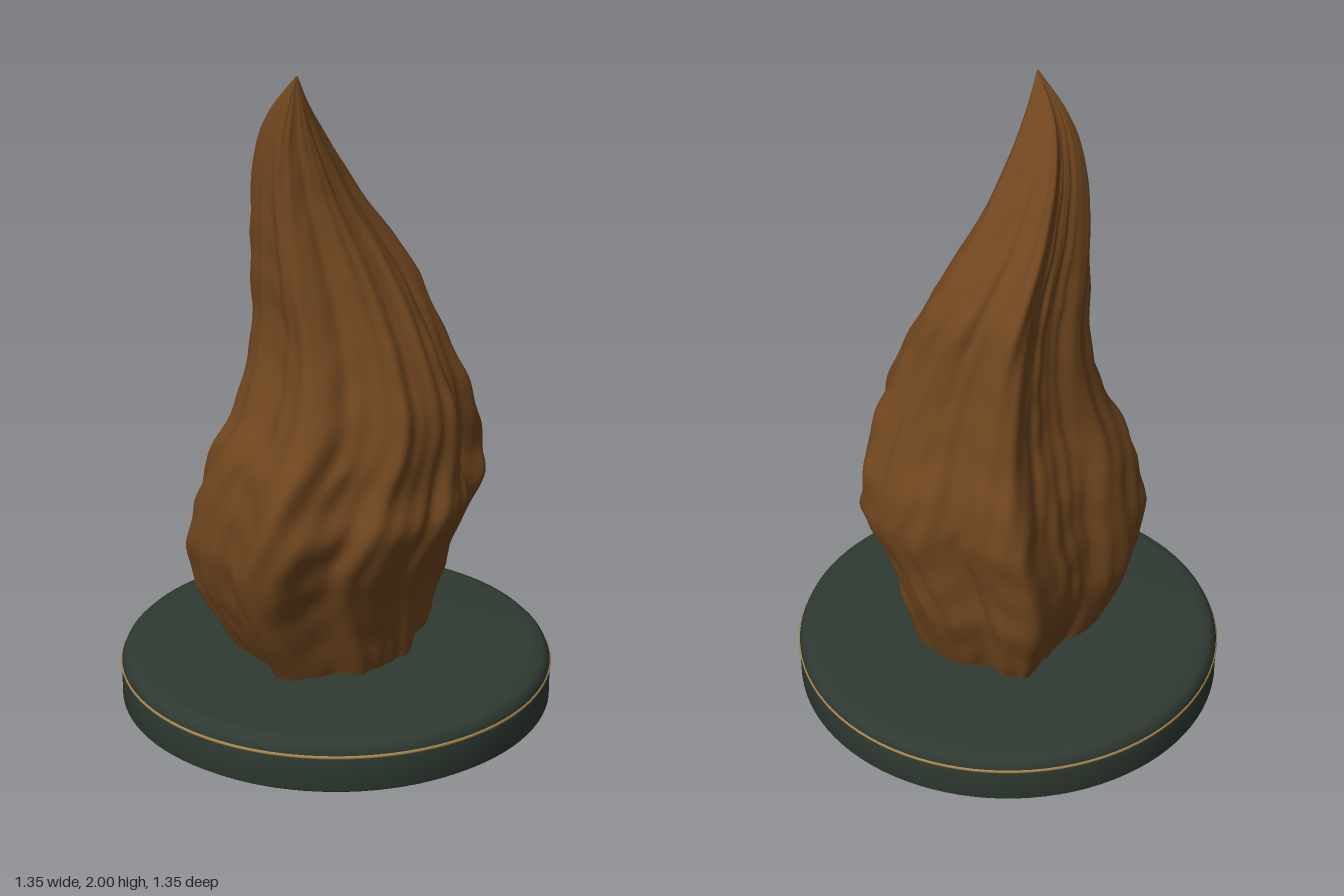
import * as THREE from 'three';

const bark = new THREE.MeshStandardMaterial({ color: 0x70461f });
bark.name = 'warm brown';
const green = new THREE.MeshStandardMaterial({ color: 0x2f3a32 });
green.name = 'dark green';
const gold = new THREE.MeshStandardMaterial({ color: 0xa8844c });
gold.name = 'antique gold';

// Heights with the extents of the flame there: x min, x max, z min, z max
const LEVELS = [
  [0.17, -0.31, 0.28, -0.24, 0.24],
  [0.4, -0.44, 0.36, -0.32, 0.30],
  [0.55, -0.49, 0.38, -0.32, 0.36],
  [0.7, -0.50, 0.415, -0.30, 0.42],
  [0.8, -0.475, 0.41, -0.28, 0.40],
  [1.0, -0.37, 0.345, -0.22, 0.385],
  [1.2, -0.295, 0.275, -0.19, 0.315],
  [1.4, -0.28, 0.205, -0.175, 0.215],
  [1.6, -0.275, 0.07, -0.15, 0.125],
  [1.8, -0.26, -0.07, -0.10, 0.075],
  [1.9, -0.24, -0.145, -0.045, 0.06],
  [2.0, -0.217, -0.213, 0.046, 0.05],
];

// Lobed cross-section (x, z), clockwise from the back left corner
const SECTION = [
  [-0.37, -0.29], [-0.2, -0.33], [0.03, -0.28], [0.3, -0.29], [0.35, -0.2], [0.36, -0.08],
  [0.42, 0.1], [0.38, 0.26], [0.22, 0.31], [0.15, 0.38], [-0.1, 0.41], [-0.22, 0.38],
  [-0.3, 0.31], [-0.5, 0.18], [-0.46, 0], [-0.43, -0.14],
];

// Fine twisting ridges, as a factor on the radius
function ridge(a, y) {
  const t = a + 0.45 * Math.max(0, y - 0.7) + 0.05 * Math.sin(y * 9);
  return 1 + 0.022 * Math.sin(t * 9 + 1.2 * Math.sin(y * 3))
    + 0.014 * Math.sin(t * 17 + 2 + Math.sin(y * 5 + a))
    + 0.009 * Math.sin(t * 29 + 1 + 1.5 * Math.sin(y * 7))
    + 0.005 * Math.sin(y * 38 + 3 * Math.sin(a * 5));
}

function flameGeometry(rings = 100, sides = 176) {
  const extents = new THREE.CubicInterpolant(
    LEVELS.map((l) => l[0]), LEVELS.flatMap((l) => l.slice(1)), 4, new Float32Array(4));
  const outline = new THREE.CatmullRomCurve3(
    SECTION.map(([x, z]) => new THREE.Vector3(x, 0, z)), true).getSpacedPoints(sides);
  const positions = [];
  const index = [];
  for (let i = 0; i <= rings; i++) {
    const y = 0.17 + (1.83 * i) / rings;
    const [x0, x1, z0, z1] = extents.evaluate(y);
    const ring = [];
    for (let j = 0; j < sides; j++) {
      const p = outline[j];
      ring.push(p.clone().multiplyScalar(ridge(Math.atan2(p.z, p.x), y)));
    }
    // Fit the ridged ring to the extents at this height
    const box = new THREE.Box3().setFromPoints(ring);
    for (const p of ring) {
      positions.push(
        THREE.MathUtils.mapLinear(p.x, box.min.x, box.max.x, x0, x1), y,
        THREE.MathUtils.mapLinear(p.z, box.min.z, box.max.z, z0, z1));
    }
    if (i === rings) break;
    for (let j = 0; j < sides; j++) {
      const a = i * sides + j;
      const b = i * sides + ((j + 1) % sides);
      index.push(a, a + sides, b, b, a + sides, b + sides);
    }
  }
  const g = new THREE.BufferGeometry();
  g.setAttribute('position', new THREE.Float32BufferAttribute(positions, 3));
  g.setIndex(index);
  g.computeVertexNormals();
  return g;
}

export function createModel() {
  const model = new THREE.Group();
  const add = (name, geometry, material) => {
    const mesh = new THREE.Mesh(geometry, material);
    mesh.name = name;
    model.add(mesh);
    return mesh;
  };

  // Round plinth with bevelled edges
  const profile = [[0, 0], [0.61, 0], [0.645, 0.012], [0.67, 0.03], [0.67, 0.14],
    [0.66, 0.163], [0.645, 0.178], [0.61, 0.185], [0, 0.185]];
  add('plinth', new THREE.LatheGeometry(profile.map(([r, y]) => new THREE.Vector2(r, y)), 96), green);

  // Thin trim line around the plinth
  const trim = add('plinthTrim', new THREE.TorusGeometry(0.667, 0.006, 8, 96), gold);
  trim.rotation.x = Math.PI / 2;
  trim.position.y = 0.137;

  // Twisted flame-shaped carving
  add('flameCarving', flameGeometry(), bark);
  return model;
}
